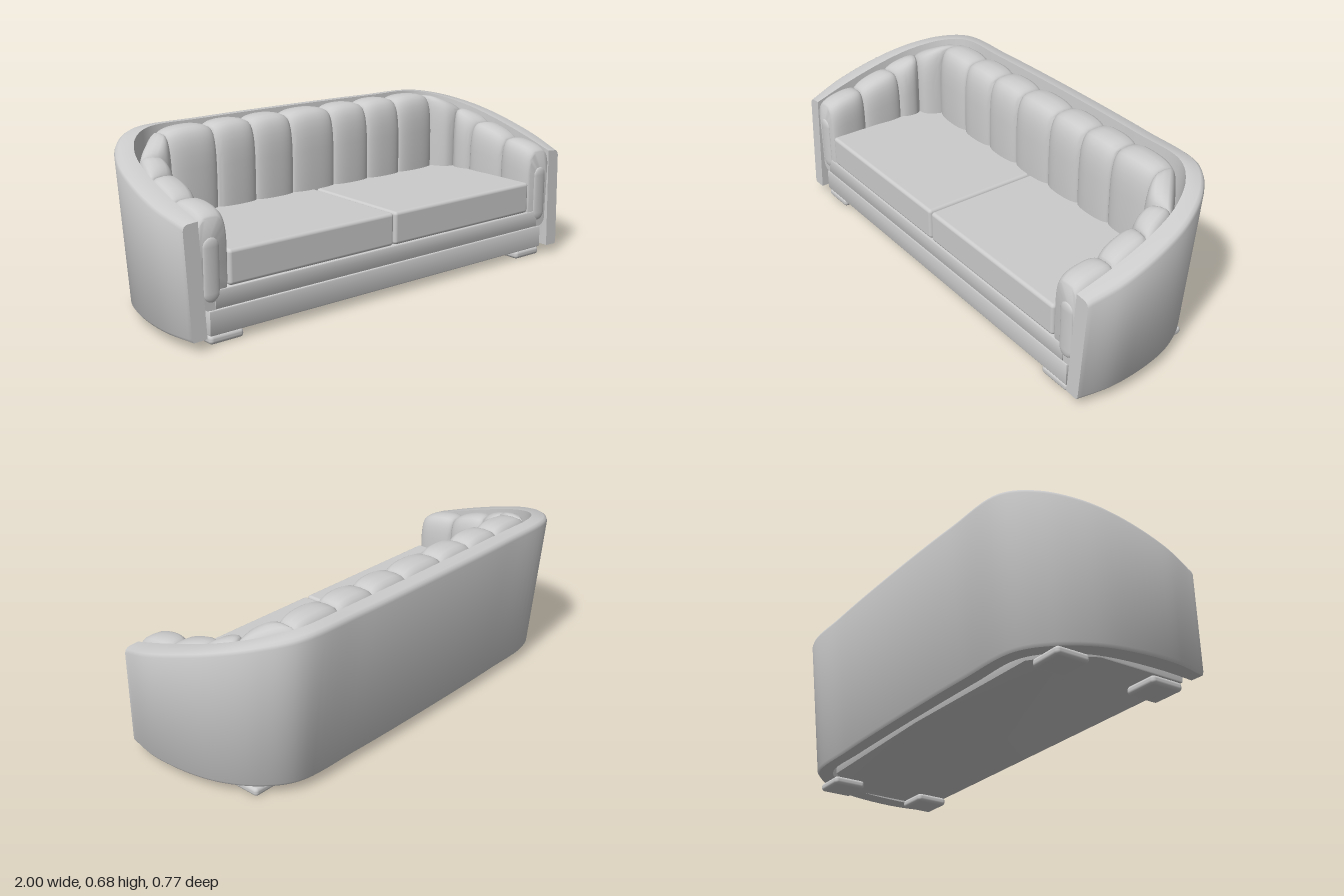
import * as THREE from 'three';
import { toCreasedNormals } from 'three/addons/utils/BufferGeometryUtils.js';
import { RoundedBoxGeometry } from 'three/addons/geometries/RoundedBoxGeometry.js';

const material = new THREE.MeshStandardMaterial({ color: 0xcccccc, roughness: 0.8 });

function add(parent, name, geometry, x = 0, y = 0, z = 0) {
  const mesh = new THREE.Mesh(geometry, material);
  mesh.name = name;
  mesh.position.set(x, y, z);
  parent.add(mesh);
  return mesh;
}

// Skin a row of closed rings (outer side first, going up) and cap both ends
function loft(rings, crease) {
  const n = rings[0].length, last = (rings.length - 1) * n, index = [];
  for (let i = 0; i < rings.length - 1; i++) {
    for (let j = 0; j < n; j++) {
      const k = (j + 1) % n, a = i * n + j, b = a + n, c = (i + 1) * n + k, d = i * n + k;
      index.push(a, b, c, a, c, d);
    }
  }
  for (let j = 1; j < n - 1; j++) {
    index.push(0, j, j + 1, last, last + j + 1, last + j);
  }
  const g = new THREE.BufferGeometry();
  g.setAttribute('position', new THREE.Float32BufferAttribute(rings.flat(2), 3));
  g.setIndex(index);
  return toCreasedNormals(g, crease);
}

// Complete a right-to-centre list of [x, z] points with its mirror image
const mirrored = (half) => [...half, ...half.slice(0, -1).reverse().map(([x, z]) => [-x, z])];
const planCurve = (half) => new THREE.CatmullRomCurve3(
  mirrored(half).map(([x, z]) => new THREE.Vector3(x, 0, z)), false, 'centripetal');

// Wraparound shell: sloping rim, walls leaning outward
function shellGeometry() {
  const outer = planCurve([[0.978, 0.355], [1.004, 0.2], [0.99, 0], [0.95, -0.14],
    [0.87, -0.27], [0.75, -0.36], [0.45, -0.38], [0, -0.386]]);
  const inner = planCurve([[0.915, 0.355], [0.92, 0.2], [0.905, 0], [0.87, -0.13],
    [0.8, -0.24], [0.7, -0.305], [0.45, -0.315], [0, -0.32]]);
  const lean = (p, y) => {
    const t = 1 - (y - 0.04) / 0.63;
    return [p.x * (1 - 0.02 * t), y, p.z + t * (0.045 - 0.04 * p.z)];
  };
  const rings = [];
  const steps = 112;
  for (let i = 0; i <= steps; i++) {
    const o = outer.getPoint(i / steps), p = inner.getPoint(i / steps);
    const top = 0.465 + (0.36 - p.z) * 0.31;
    const rim = (f) => o.clone().lerp(p, f);
    rings.push([
      lean(rim(0.1), 0.038), lean(o, 0.05), lean(o, top - 0.025), lean(rim(0.08), top - 0.012),
      lean(rim(0.25), top - 0.004), lean(p, top), lean(p, 0.04),
    ]);
  }
  return loft(rings, 0.7);
}

// One padded channel between two seams, swelling in the middle
function channelGeometry(s0, s1) {
  const mix = THREE.MathUtils.lerp, rings = [], steps = 16, sides = 32;
  const soft = (v, e) => Math.sign(v) * Math.abs(v) ** e;
  for (let i = 0; i <= steps; i++) {
    const u = (1 - Math.cos((i / steps) * Math.PI)) / 2;
    const swell = Math.max(0, 1 - Math.abs(2 * u - 1) ** 2.5) ** 0.6;
    const s = s0.map((v, k) => mix(v, s1[k], u));
    const [ox, oz, ix, iz] = s;
    const len = Math.hypot(ix - ox, iz - oz);
    const dx = (ix - ox) / len, dz = (iz - oz) / len;
    const top = s[4] + 0.025 * swell, bottom = 0.13;
    const ring = [];
    for (let j = 0; j < sides; j++) {
      const a = (j / sides) * Math.PI * 2;
      const d = 0.5 + 0.5 * soft(Math.cos(a), 0.55);
      const y = (top + bottom) / 2 + ((top - bottom) / 2) * soft(Math.sin(a), 0.55);
      const push = swell * mix(0.022, -0.008, d);
      const tuck = oz < 0 ? (1 - (y - 0.04) / 0.63) * 0.06 * d * Math.min(1, -oz / 0.2) : 0;
      ring.push([mix(ix, ox, d) + dx * push, y, mix(iz, oz, d) + dz * push + tuck]);
    }
    rings.push(ring);
  }
  return loft(rings, 0.8);
}

// Flat plinth layer with rounded rear corners
function plinthGeometry(halfWidth, height) {
  const half = [[halfWidth, 0.36], [halfWidth, -0.02], [0.81, -0.13], [0.7, -0.22], [0, -0.24]];
  const shape = new THREE.Shape(mirrored(half).map(([x, z]) => new THREE.Vector2(x, -z)));
  const b = 0.006;
  const g = new THREE.ExtrudeGeometry(shape, {
    depth: height - 2 * b, bevelThickness: b, bevelSize: b, bevelSegments: 2,
  });
  g.translate(0, 0, b).rotateX(-Math.PI / 2);
  return toCreasedNormals(g, 0.6);
}

export function createModel() {
  const sofa = new THREE.Group();
  sofa.name = 'sofa';

  add(sofa, 'shell', shellGeometry());
  add(sofa, 'lowerPlinth', plinthGeometry(0.865, 0.096), 0, 0.034, 0);
  add(sofa, 'upperPlinth', plinthGeometry(0.84, 0.073), 0, 0.131, 0);

  // Seams from the right arm front to the back centre: outer x, z, inner x, z, top
  const seams = [
    [0.912, 0.362, 0.795, 0.362, 0.465],
    [0.915, 0.19, 0.8, 0.19, 0.495],
    [0.91, 0.03, 0.785, 0.01, 0.545],
    [0.865, -0.13, 0.775, -0.09, 0.59],
    [0.7, -0.302, 0.695, -0.165, 0.65],
    [0.487, -0.312, 0.487, -0.155, 0.655],
    [0.3, -0.314, 0.3, -0.155, 0.655],
    [0.11, -0.314, 0.11, -0.155, 0.655],
  ];
  const all = [...seams, ...seams.slice().reverse().map(([a, b, c, d, e]) => [-a, b, -c, d, e])];
  const padding = new THREE.Group();
  padding.name = 'channelPadding';
  sofa.add(padding);
  for (let i = 0; i < all.length - 1; i++) {
    add(padding, 'channel' + (i + 1), channelGeometry(all[i], all[i + 1]));
  }

  for (const side of [-1, 1]) {
    const label = side > 0 ? 'left' : 'right';
    // Seat cushion with a slightly crowned top
    const cushion = new RoundedBoxGeometry(0.782, 0.135, 0.575, 4, 0.014);
    add(sofa, label + 'SeatCushion', cushion, side * 0.394, 0.2725, 0.0785);
    // Oval pad on the arm front
    const pad = new THREE.CapsuleGeometry(0.034, 0.17, 8, 24);
    pad.scale(1, 1, 0.3);
    add(sofa, label + 'ArmPad', pad, side * 0.858, 0.28, 0.361);
    // Feet
    for (const [end, z] of [['Front', 0.292], ['Rear', -0.142]]) {
      const foot = new RoundedBoxGeometry(0.147, 0.036, 0.146, 4, 0.015);
      add(sofa, label + end + 'Foot', foot, side * 0.798, 0.018, z);
    }
  }
  return sofa;
}
